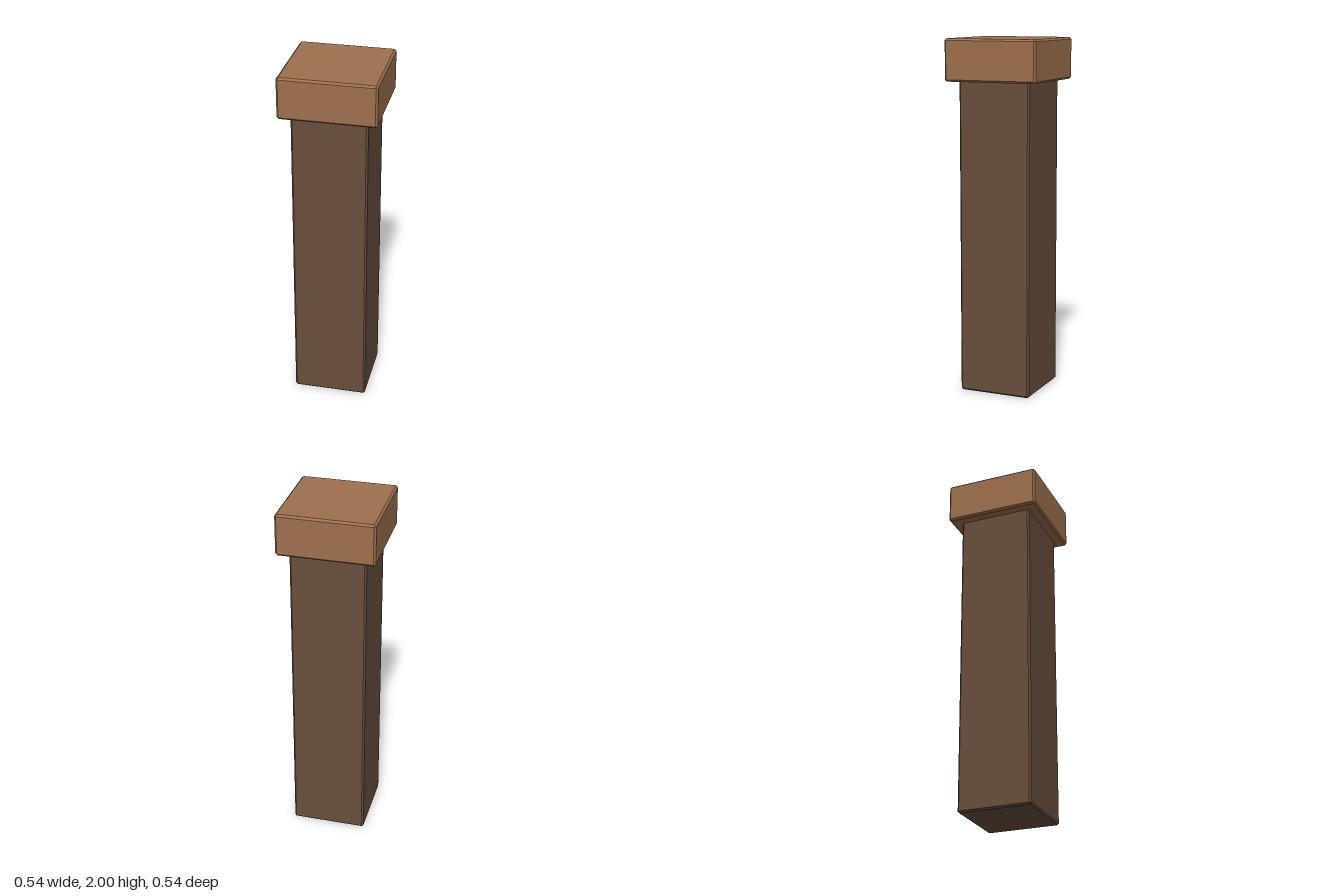
import * as THREE from 'three';
import { ConvexGeometry } from 'three/addons/geometries/ConvexGeometry.js';

// Box with every edge and corner cut by a flat chamfer, spanning y0 to y1
function chamferedBlock(name, half, y0, y1, bevel, color) {
  const size = [half, (y1 - y0) / 2, half];
  const points = [];
  for (const sx of [-1, 1]) for (const sy of [-1, 1]) for (const sz of [-1, 1]) {
    // each corner becomes three points, one on each adjoining face
    for (let face = 0; face < 3; face++) {
      const [x, y, z] = size.map((s, axis) => (axis === face ? s : s - bevel));
      points.push(new THREE.Vector3(sx * x, sy * y, sz * z));
    }
  }
  const material = new THREE.MeshStandardMaterial({ color, flatShading: true });
  const mesh = new THREE.Mesh(new ConvexGeometry(points), material);
  mesh.name = name;
  mesh.position.y = (y0 + y1) / 2;
  return mesh;
}

export function createModel() {
  const model = new THREE.Group();
  model.name = 'woodenPost';
  // Tall square shaft, its top set just inside the cap
  model.add(chamferedBlock('shaft', 0.21, 0, 1.79, 0.01, 0x694e3d));
  // Wider cap block
  model.add(chamferedBlock('cap', 0.27, 1.765, 2, 0.011, 0x9f704e));
  return model;
}
